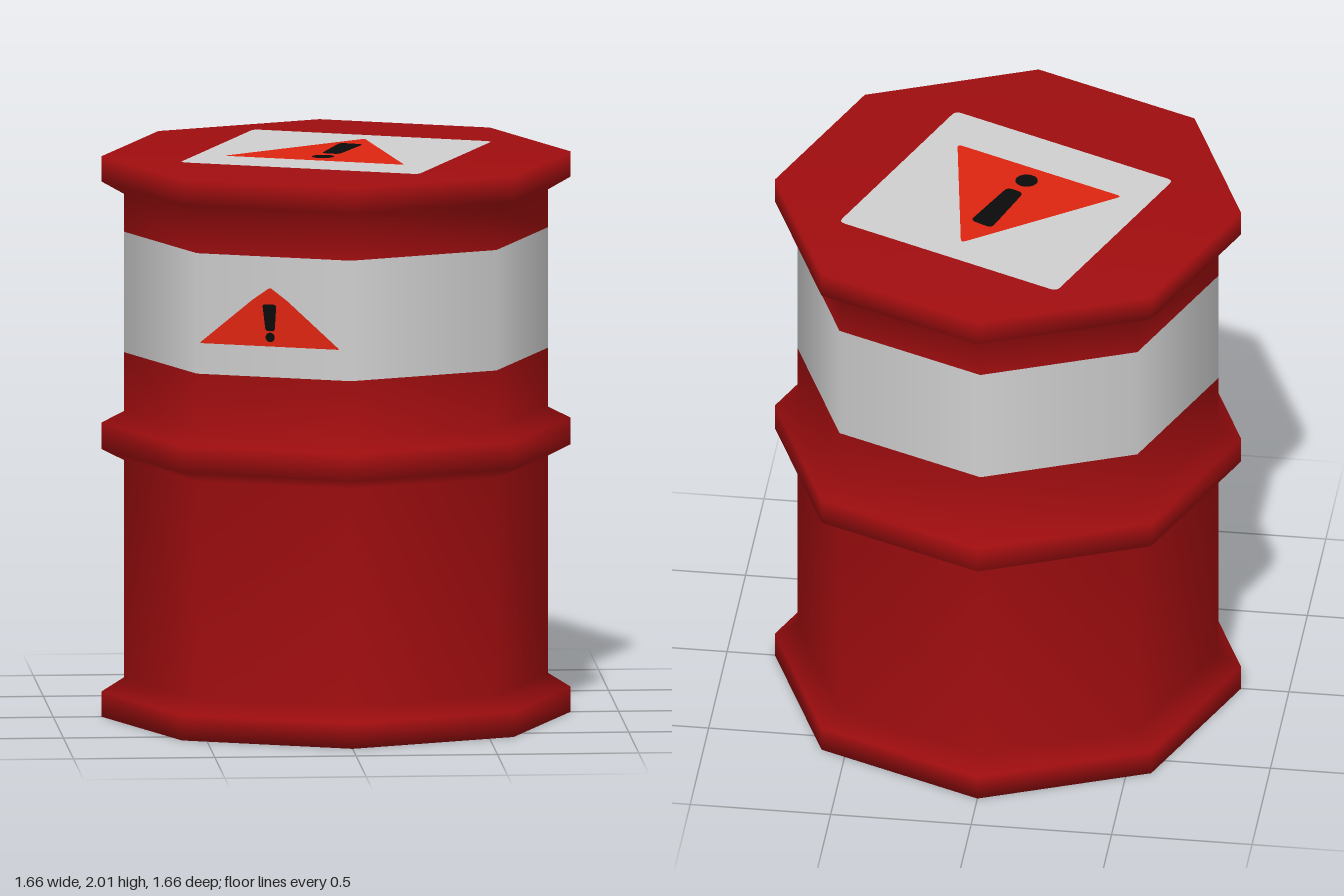
import * as THREE from 'three';

const SIDES = 8;
const mat = (name, color) => new THREE.MeshStandardMaterial({ name, color });

export function createModel() {
  const red = mat('barrelRed', 0xa00d0f);
  const white = mat('labelWhite', 0xcfcfcf);
  const orange = mat('warningOrange', 0xdd2510);
  const black = mat('markBlack', 0x0a0a0a);
  const model = new THREE.Group();
  model.name = 'barrel';

  // Octagonal drum with three ribs; the white band is one row of the lathe
  const profile = [
    [0, 0], [0.83, 0], [0.83, 0.09], [0.75, 0.14], [0.75, 0.915], [0.83, 0.955],
    [0.83, 1.05], [0.75, 1.09], [0.75, 1.3], [0.75, 1.73], [0.75, 1.865],
    [0.83, 1.91], [0.83, 2], [0, 2],
  ].map(([r, y]) => new THREE.Vector2(r, y));
  const drum = new THREE.LatheGeometry(profile, SIDES);
  const rows = profile.length - 1, band = 8;
  for (let i = 0; i < SIDES; i++) {
    const start = i * rows * 6;
    drum.addGroup(start, band * 6, 0);
    drum.addGroup(start + band * 6, 6, 1);
    drum.addGroup(start + (band + 1) * 6, (rows - band - 1) * 6, 0);
  }
  const body = new THREE.Mesh(drum, [red, white]);
  body.name = 'drumBody';
  model.add(body);

  // Flat polygon with rounded corners, facing +z, raised by z
  const plate = (parent, name, points, radius, z, material) => {
    const v = points.map(([x, y]) => new THREE.Vector2(x, y));
    const shape = new THREE.Shape();
    v.forEach((p, i) => {
      const toward = (q) => p.clone().add(q.clone().sub(p).setLength(radius));
      const a = toward(v[(i + v.length - 1) % v.length]);
      const b = toward(v[(i + 1) % v.length]);
      if (i) shape.lineTo(a.x, a.y); else shape.moveTo(a.x, a.y);
      shape.quadraticCurveTo(p.x, p.y, b.x, b.y);
    });
    shape.closePath();
    const mesh = new THREE.Mesh(new THREE.ShapeGeometry(shape, 4), material);
    mesh.name = name;
    mesh.position.z = z;
    parent.add(mesh);
  };
  const dot = (parent, x, y, r, z) => {
    const mesh = new THREE.Mesh(new THREE.CircleGeometry(r, 16), black);
    mesh.name = 'markDot';
    mesh.position.set(x, y, z);
    parent.add(mesh);
  };

  // Warning label on the lid
  const lid = new THREE.Group();
  lid.name = 'lidLabel';
  lid.rotation.x = -Math.PI / 2;
  lid.position.y = 2;
  plate(lid, 'labelSquare', [[-0.25, 0.59], [-0.565, -0.175], [0.255, -0.52], [0.57, 0.245]], 0.025, 0.002, white);
  plate(lid, 'warningTriangle', [[0.125, 0.325], [-0.4, -0.045], [0.22, -0.305]], 0.02, 0.004, orange);
  plate(lid, 'markBar', [[0.03, 0.22], [-0.053, -0.02], [0.008, -0.047], [0.11, 0.18]].map(([x, y]) => [x, y]), 0.022, 0.006, black);
  dot(lid, -0.053, -0.1, 0.04, 0.006);
  model.add(lid);

  // Small warning sign on the band, on the front face towards -x
  const half = Math.PI / SIDES, apothem = 0.75 * Math.cos(half);
  const sign = new THREE.Group();
  sign.name = 'bandSign';
  sign.rotation.y = -half;
  sign.position.set(-apothem * Math.sin(half), 1.41, apothem * Math.cos(half));
  plate(sign, 'warningTriangle', [[-0.277, 0], [0.245, 0], [0.05, 0.165], [-0.014, 0.21], [-0.078, 0.165]], 0.008, 0.002, orange);
  plate(sign, 'markBar', [[-0.03, 0.055], [0.004, 0.055], [0.01, 0.15], [-0.042, 0.15]], 0.01, 0.004, black);
  dot(sign, -0.013, 0.033, 0.017, 0.004);
  model.add(sign);

  return model;
}
